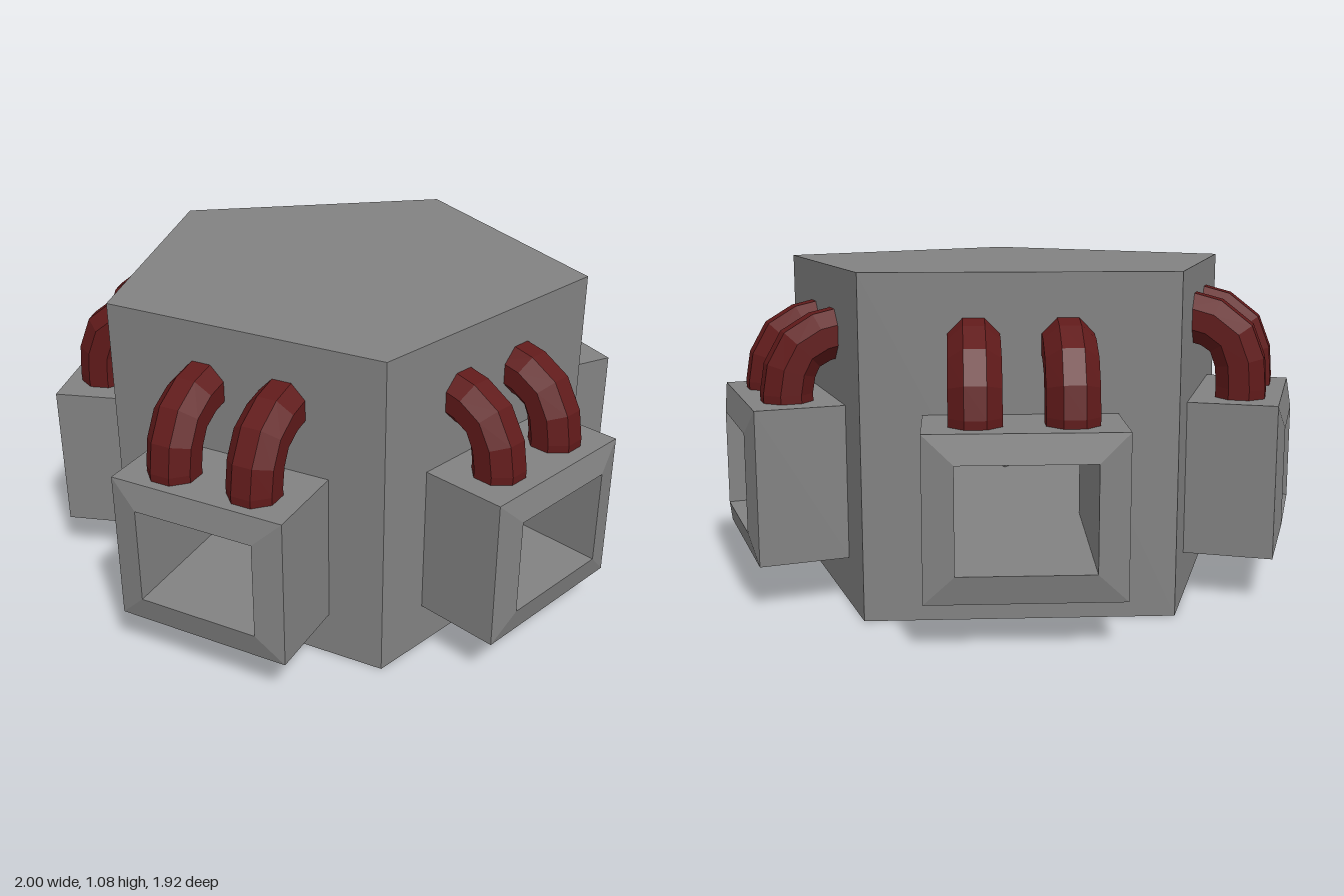
import * as THREE from 'three';

const SIDES = 5, STEP = (Math.PI * 2) / SIDES, HALF = STEP / 2;
const R = 0.827, APOTHEM = R * Math.cos(HALF), HEIGHT = 1.08;
const HOLE = { w: 0.205, y0: 0.24, y1: 0.563 };    // tunnel mouth
const INNER = { ...HOLE, w: 0.22 };                // tunnel end at the chamber
const BOX = { w: 0.298, y0: 0.15, y1: 0.65 };      // housing section

const grey = new THREE.MeshStandardMaterial({ color: 0x828282, flatShading: true });
const red = new THREE.MeshStandardMaterial({ color: 0x601a1a, flatShading: true });

function add(parent, name, geometry, material = grey) {
  const mesh = new THREE.Mesh(geometry, material);
  mesh.name = name;
  parent.add(mesh);
  return mesh;
}

// Horizontal pentagon with one corner pointing to the back
function pentagon(radius, y, up) {
  const s = up ? 1 : -1;
  return new THREE.CircleGeometry(radius, SIDES, (s * Math.PI) / 2)
    .rotateX((-s * Math.PI) / 2).translate(0, y, 0);
}

// One side of the body with the tunnel opening cut out
function wallGeometry() {
  const w = APOTHEM * Math.tan(HALF);
  const rect = (path, a, y0, y1) =>
    path.moveTo(-a, y0).lineTo(a, y0).lineTo(a, y1).lineTo(-a, y1).closePath();
  const shape = rect(new THREE.Shape(), w, 0, HEIGHT);
  shape.holes.push(rect(new THREE.Path(), INNER.w, HOLE.y0, HOLE.y1));
  return new THREE.ShapeGeometry(shape).translate(0, 0, APOTHEM);
}

// Skin between successive rectangular sections along z
function loftRects(sections) {
  const rings = sections.map(([s, z]) => [
    [-s.w, s.y0, z], [s.w, s.y0, z], [s.w, s.y1, z], [-s.w, s.y1, z],
  ]);
  const pos = [];
  for (let i = 0; i < rings.length - 1; i++) {
    for (let j = 0; j < 4; j++) {
      const k = (j + 1) % 4;
      const [a, b, c, d] = [rings[i][j], rings[i][k], rings[i + 1][k], rings[i + 1][j]];
      pos.push(...a, ...b, ...c, ...a, ...c, ...d);
    }
  }
  const g = new THREE.BufferGeometry();
  g.setAttribute('position', new THREE.Float32BufferAttribute(pos, 3));
  g.computeVertexNormals();
  return g;
}

// Bent eight-sided pipe, flat side out, from the housing top into the wall
function pipeGeometry(x, lift, reach) {
  const path = [[0.60, 0.84], [0.71, 0.84], [0.81, 0.80], [0.86, 0.71], [0.875, 0.58]];
  const curve = new THREE.CatmullRomCurve3(
    path.map(([y, z], i) => new THREE.Vector3(x, y + (i ? lift : 0), z + reach)));
  const corners = Array.from({ length: 8 }, (_, i) => {
    const a = ((i + 0.5) * Math.PI) / 4;
    return new THREE.Vector2(Math.cos(a), Math.sin(a)).multiplyScalar(0.086);
  });
  return new THREE.ExtrudeGeometry(new THREE.Shape(corners),
    { steps: 6, extrudePath: curve, bevelEnabled: false });
}

export function createModel() {
  const model = new THREE.Group();
  model.name = 'pentagonalHub';
  model.position.z = -0.015;

  // Body caps, and floor and ceiling of the chamber where the tunnels meet
  const chamber = INNER.w / Math.sin(HALF);
  add(model, 'bodyTop', pentagon(R, HEIGHT, true));
  add(model, 'bodyBottom', pentagon(R, 0, false));
  add(model, 'chamberFloor', pentagon(chamber, HOLE.y0, true));
  add(model, 'chamberCeiling', pentagon(chamber, HOLE.y1, false));

  const wall = wallGeometry();
  // Outer sides, bevelled rim, then tunnel back to the chamber
  const housing = loftRects([
    [BOX, APOTHEM - 0.005], [BOX, 0.955], [HOLE, 0.975], [INNER, INNER.w / Math.tan(HALF)],
  ]);

  for (let i = 0; i < SIDES; i++) {
    const side = new THREE.Group();
    side.name = `side${i + 1}`;
    side.rotation.y = i * STEP;
    add(side, 'bodyWall', wall);
    add(side, 'portHousing', housing);
    // The pipes on the right-hand side stand slightly taller; the front pair reaches further out
    const lift = i === 4 ? 0.045 : 0;
    const reach = i === 0 ? 0 : -0.018;
    for (const s of [-1, 1]) add(side, 'pipe', pipeGeometry(s * 0.142, lift, reach), red);
    model.add(side);
  }

  const root = new THREE.Group();
  root.name = 'model';
  root.add(model);
  return root;
}
